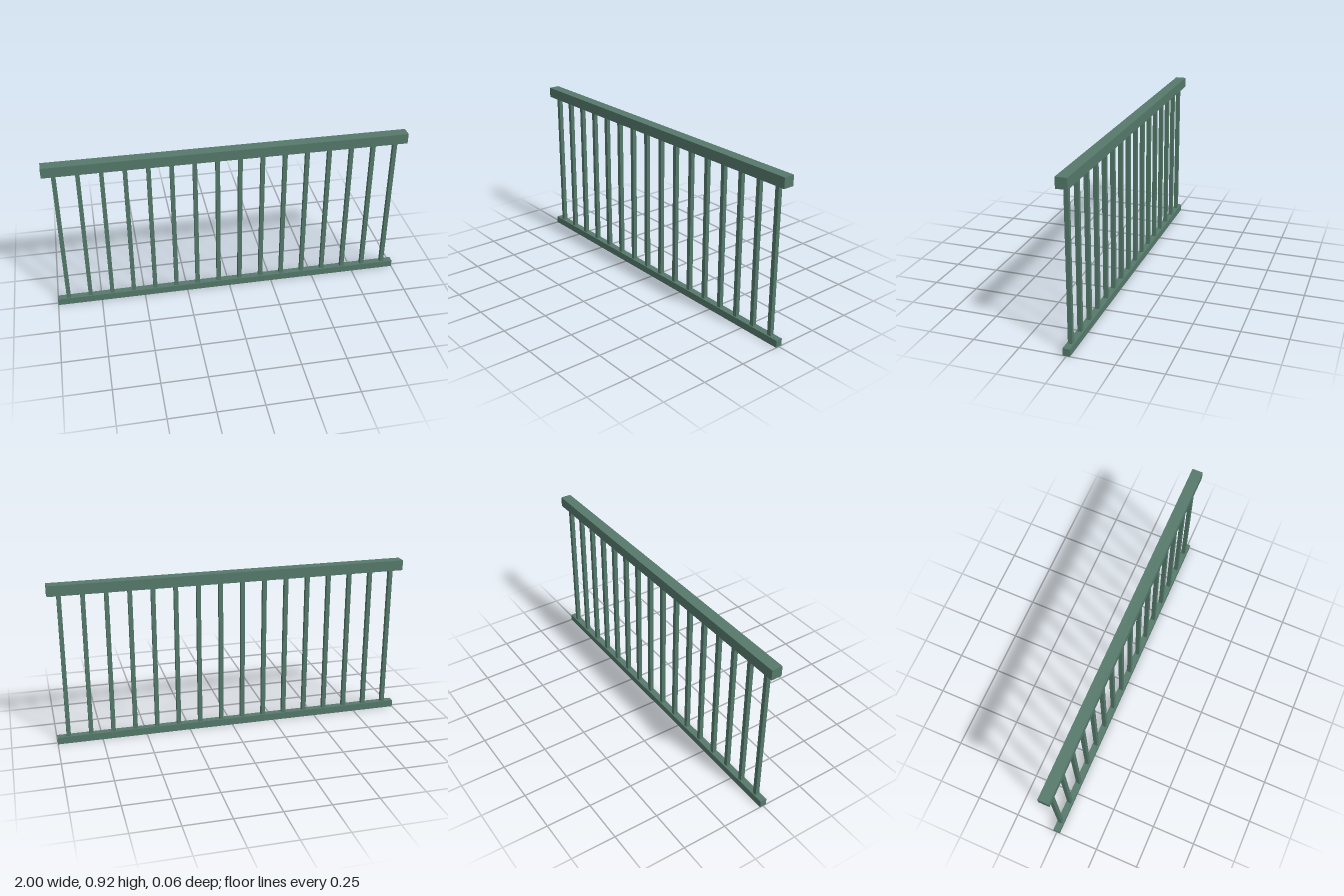
import * as THREE from 'three';

export function createModel() {
  const group = new THREE.Group();
  group.name = 'railing';
  const paint = new THREE.MeshStandardMaterial({ color: 0x55796b });
  paint.name = 'grey green paint';

  // Box spanning y0..y1, centred on z = 0
  const addBox = (name, width, depth, y0, y1, x = 0) => {
    const mesh = new THREE.Mesh(new THREE.BoxGeometry(width, y1 - y0, depth), paint);
    mesh.name = name;
    mesh.position.set(x, (y0 + y1) / 2, 0);
    group.add(mesh);
  };

  // Rails
  addBox('topRail', 2, 0.061, 0.861, 0.919);
  addBox('bottomRail', 2, 0.038, 0, 0.04);

  // Evenly spaced square balusters between the rails
  const count = 16, spacing = 0.125;
  for (let i = 0; i < count; i++) {
    addBox(`baluster${i + 1}`, 0.023, 0.023, 0.04, 0.861, (i - (count - 1) / 2) * spacing);
  }
  return group;
}
